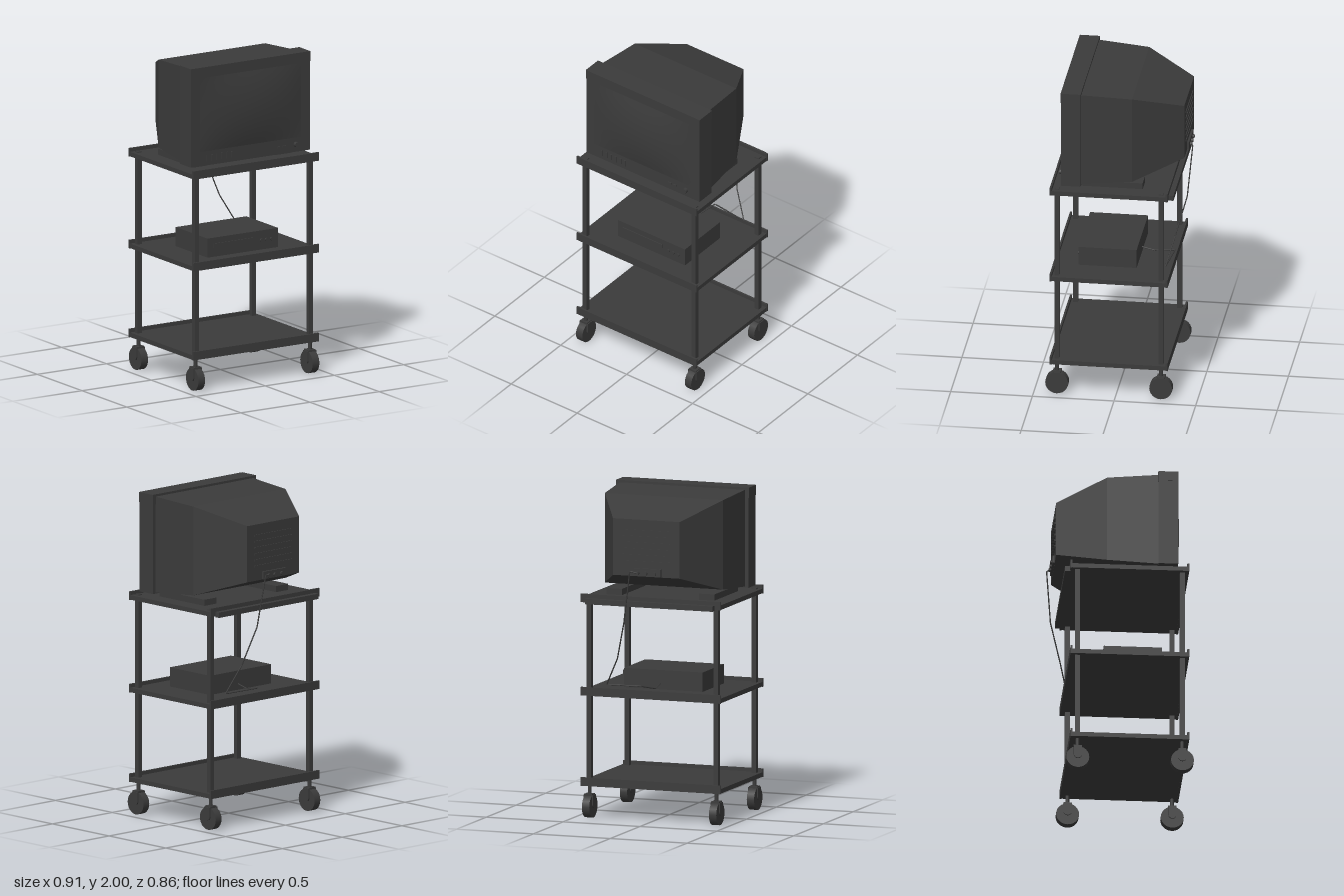
import * as THREE from 'three';

const charcoal = new THREE.MeshStandardMaterial({ color: 0x3b3b3b });
charcoal.name = 'charcoal';

function add(parent, name, geometry, x = 0, y = 0, z = 0) {
  const mesh = new THREE.Mesh(geometry, charcoal);
  mesh.name = name;
  mesh.position.set(x, y, z);
  parent.add(mesh);
  return mesh;
}

// Box given by its minimum and maximum on each axis
function box(parent, name, x0, x1, y0, y1, z0, z1) {
  return add(parent, name, new THREE.BoxGeometry(x1 - x0, y1 - y0, z1 - z0),
    (x0 + x1) / 2, (y0 + y1) / 2, (z0 + z1) / 2);
}

function group(parent, name) {
  const g = new THREE.Group();
  g.name = name;
  parent.add(g);
  return g;
}

// Round button whose axis points along z
function button(parent, name, x, y, z, r, depth) {
  add(parent, name, new THREE.CylinderGeometry(r, r, depth, 16), x, y, z).rotation.x = Math.PI / 2;
}

// Tapered shell through rectangular sections [z, halfWidth, bottom, top], front to back
function taperedShell(sections) {
  const pos = [], index = [];
  for (const [z, w, b, t] of sections) pos.push(-w, b, z, w, b, z, w, t, z, -w, t, z);
  for (let s = 0; s < sections.length - 1; s++) {
    for (let i = 0; i < 4; i++) {
      const a = s * 4 + i, b = s * 4 + (i + 1) % 4, c = b + 4, d = a + 4;
      index.push(a, d, b, b, d, c);
    }
  }
  const e = (sections.length - 1) * 4;
  index.push(e, e + 3, e + 2, e, e + 2, e + 1);
  const g = new THREE.BufferGeometry();
  g.setAttribute('position', new THREE.Float32BufferAttribute(pos, 3));
  g.setIndex(index);
  const flat = g.toNonIndexed();
  flat.computeVertexNormals();
  return flat;
}

function buildCaster(parent, x, z) {
  const g = group(parent, 'caster');
  g.position.set(x, 0, z);
  add(g, 'wheel', new THREE.CylinderGeometry(0.07, 0.07, 0.048, 24), 0, 0.07, 0).rotation.z = Math.PI / 2;
  // Fork cheeks with a rounded lower end
  const s = new THREE.Shape();
  s.moveTo(0.025, 0.14);
  s.lineTo(-0.025, 0.14);
  s.lineTo(-0.025, 0.085);
  s.absarc(0, 0.085, 0.025, Math.PI, Math.PI * 2, false);
  const cheek = new THREE.ExtrudeGeometry(s, { depth: 0.008, bevelEnabled: false, curveSegments: 12 });
  cheek.rotateY(Math.PI / 2);
  for (const cx of [-0.032, 0.024]) add(g, 'forkCheek', cheek, cx, 0, 0);
  box(g, 'forkTop', -0.026, 0.026, 0.135, 0.147, -0.025, 0.025);
  add(g, 'stem', new THREE.CylinderGeometry(0.012, 0.012, 0.07, 12), 0, 0.175, 0);
}

function buildCart(root) {
  const cart = group(root, 'cart');
  // Shelves with raised lips at front and back
  for (const y of [0.2, 0.755, 1.328]) {
    const shelf = group(cart, 'shelf');
    box(shelf, 'shelfPlate', -0.453, 0.453, y, y + 0.028, -0.315, 0.398);
    box(shelf, 'frontLip', -0.455, 0.455, y - 0.002, y + 0.05, 0.388, 0.4);
    box(shelf, 'backLip', -0.455, 0.455, y - 0.002, y + 0.05, -0.322, -0.31);
  }
  // Posts and casters
  for (const x of [-0.413, 0.413]) {
    for (const z of [0.36, -0.277]) {
      box(cart, 'post', x - 0.015, x + 0.015, 0.2, 1.362, z - 0.015, z + 0.015);
      buildCaster(cart, x, z);
    }
  }
  box(cart, 'rearStrip', -0.415, 0.415, 1.32, 1.353, -0.353, -0.32);
}

function buildTelevision(root) {
  const tv = group(root, 'television');
  box(tv, 'bezel', -0.43, 0.43, 1.385, 1.938, 0.215, 0.335);
  box(tv, 'bezelTop', -0.432, 0.432, 1.938, 2, 0.214, 0.337);
  add(tv, 'rearHousing', taperedShell([
    [0.216, 0.407, 1.392, 1.986],
    [-0.095, 0.385, 1.417, 1.967],
    [-0.392, 0.217, 1.518, 1.866]]));

  // Bulging screen
  const w = 0.73, h = 0.46;
  const screen = new THREE.PlaneGeometry(w, h, 20, 14);
  const p = screen.attributes.position;
  for (let i = 0; i < p.count; i++) {
    const u = p.getX(i) / (w / 2), v = p.getY(i) / (h / 2);
    p.setZ(i, 0.029 * (1 - u * u) * (1 - v * v));
  }
  screen.computeVertexNormals();
  add(tv, 'screen', screen, 0, 1.705, 0.337);

  // Front controls
  for (let i = 0; i < 6; i++) {
    const x = -0.312 + i * 0.0355;
    box(tv, 'frontSlot', x - 0.006, x + 0.006, 1.41, 1.45, 0.334, 0.34);
  }
  for (const x of [0.205, 0.243]) box(tv, 'frontKey', x - 0.011, x + 0.011, 1.424, 1.436, 0.334, 0.341);
  button(tv, 'powerKnob', 0.327, 1.432, 0.345, 0.016, 0.024);

  // Feet
  for (const x of [-0.3, 0.3]) box(tv, 'foot', x - 0.05, x + 0.05, 1.356, 1.394, -0.155, 0.24);

  // Rear vents and socket panel
  for (let i = 0; i < 6; i++) {
    const y = 1.607 + i * 0.038;
    box(tv, 'ventSlat', -0.155, 0.155, y - 0.006, y + 0.006, -0.397, -0.391);
  }
  box(tv, 'socketPanel', -0.098, 0.095, 1.522, 1.568, -0.405, -0.39);
  for (const x of [-0.057, 0, 0.052]) button(tv, 'socket', x, 1.54, -0.409, 0.012, 0.016);
}

function buildPlayer(root) {
  const player = group(root, 'videoPlayer');
  box(player, 'playerCase', -0.255, 0.255, 0.783, 0.902, -0.105, 0.25);
  box(player, 'tapeSlot', -0.215, 0.085, 0.84, 0.866, 0.249, 0.256);
  for (const x of [0.132, 0.168, 0.205]) button(player, 'playerButton', x, 0.842, 0.254, 0.01, 0.012);
}

// Cable falling from the sockets to the player shelf
function buildCable(root) {
  const points = [
    [0.052, 1.54, -0.412], [0.095, 1.55, -0.427], [0.143, 1.23, -0.4], [0.21, 0.995, -0.336],
    [0.298, 0.825, -0.288], [0.06, 0.83, -0.314], [0.02, 0.8, -0.185], [0.02, 0.82, -0.1],
  ].map(a => new THREE.Vector3(...a));
  const path = new THREE.CurvePath();
  for (let i = 1; i < points.length; i++) path.add(new THREE.LineCurve3(points[i - 1], points[i]));
  add(root, 'cable', new THREE.TubeGeometry(path, 160, 0.004, 6));
}

export function createModel() {
  const root = new THREE.Group();
  root.name = 'televisionCart';
  buildCart(root);
  buildTelevision(root);
  buildPlayer(root);
  buildCable(root);
  return root;
}
